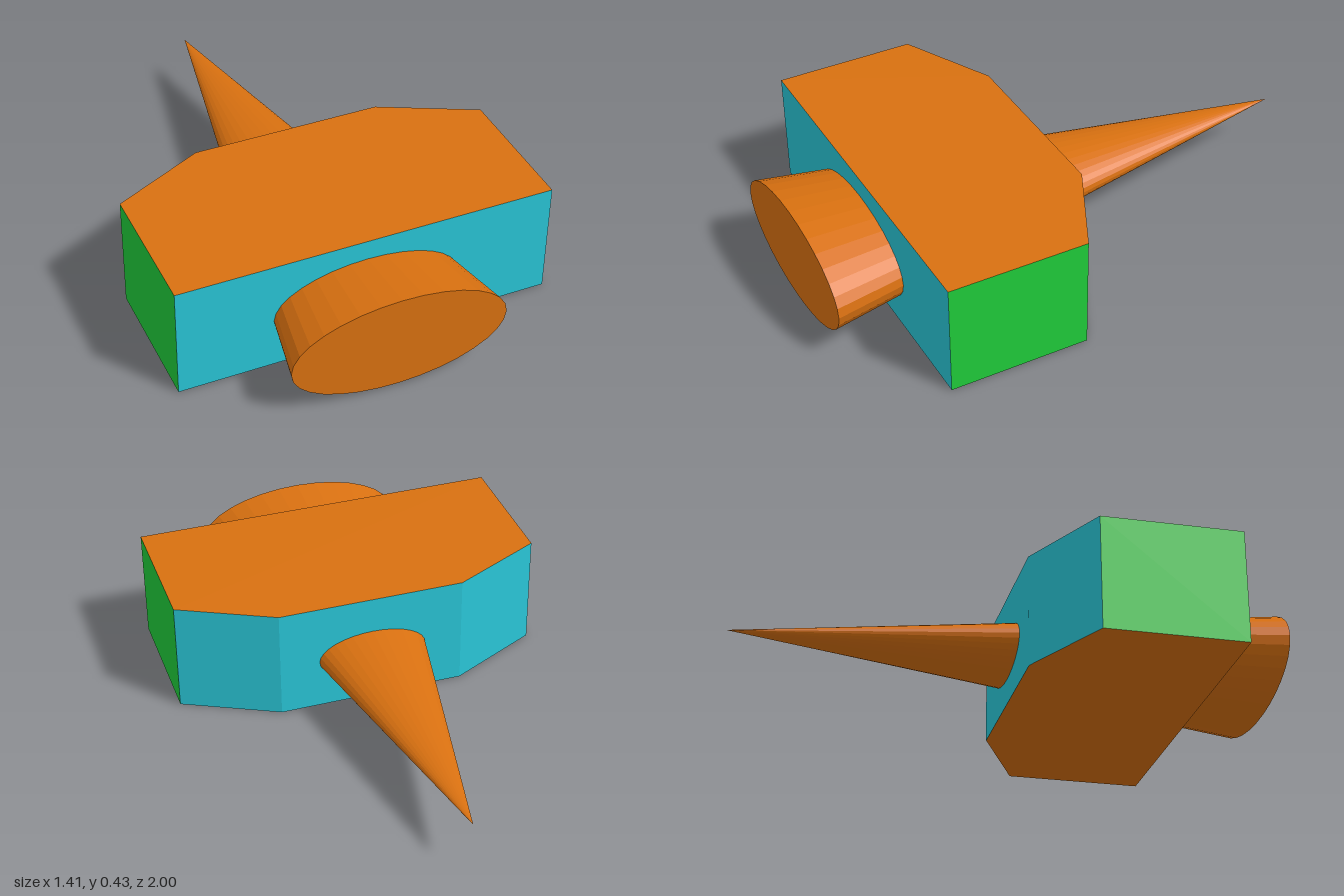
import * as THREE from 'three';

export function createModel() {
  const group = new THREE.Group();
  const paint = (color) => new THREE.MeshStandardMaterial({ color, flatShading: true });
  const orange = paint(0xd87010);
  const cyan = paint(0x29c5d6);
  const green = paint(0x1fcc3a);

  // Block: six-sided plan with chamfered rear corners, extruded upward
  const plan = [[-0.703, 0.735], [0.703, 0.735], [0.703, 0.21], [0.355, 0.038], [-0.355, 0.038], [-0.703, 0.21]];
  const shape = new THREE.Shape(plan.map(([x, z]) => new THREE.Vector2(x, -z)));
  const block = new THREE.ExtrudeGeometry(shape, { depth: 0.43, bevelEnabled: false });
  block.rotateX(-Math.PI / 2);

  // Paint by facing: orange top and bottom, green ends, cyan walls
  block.clearGroups();
  const normal = block.attributes.normal;
  for (let i = 0; i < normal.count; i += 3) {
    const isCap = Math.abs(normal.getY(i)) > 0.5;
    const isEnd = Math.abs(normal.getX(i)) > 0.9;
    block.addGroup(i, 3, isCap ? 0 : isEnd ? 2 : 1);
  }
  const body = new THREE.Mesh(block, [orange, cyan, green]);
  body.name = 'body';
  group.add(body);

  // Flattened cone running through the block, its tip at the rear
  const coneGeometry = new THREE.ConeGeometry(1, 2, 32);
  coneGeometry.rotateX(-Math.PI / 2);
  coneGeometry.scale(0.4, 0.184, 1);
  const spike = new THREE.Mesh(coneGeometry, orange);
  spike.name = 'spike';
  spike.position.set(-0.004, 0.194, 0);
  group.add(spike);

  return group;
}
